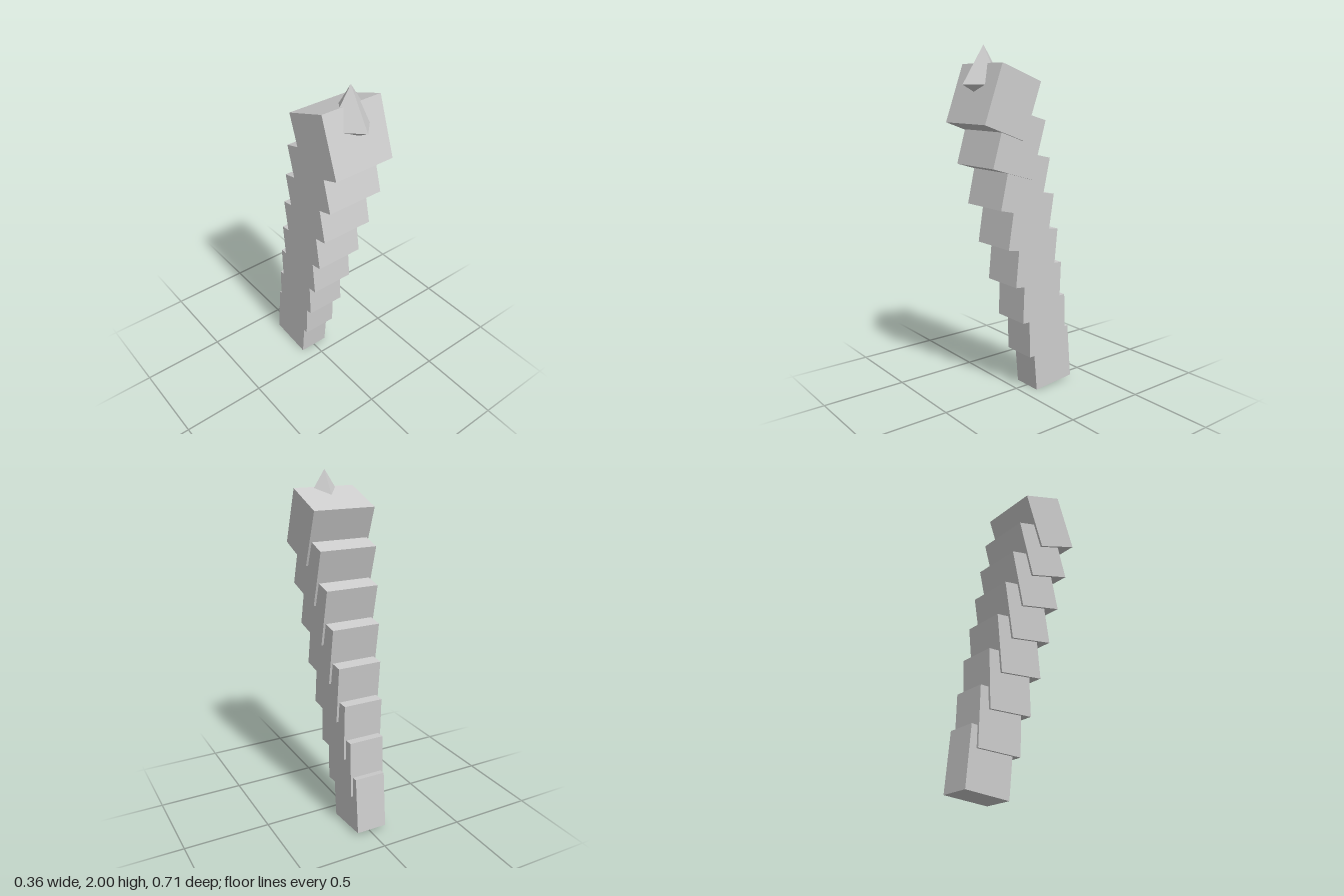
import * as THREE from 'three';

export function createModel() {
  const group = new THREE.Group();
  const grey = new THREE.MeshStandardMaterial({ color: 0xcccccc, flatShading: true });
  grey.name = 'light grey';

  // Overlapping blocks that widen upward and tilt progressively backward
  const count = 8;
  for (let i = 0; i < count; i++) {
    const t = i / (count - 1);
    const width = THREE.MathUtils.lerp(0.181, 0.364, t);
    const block = new THREE.Mesh(new THREE.BoxGeometry(width, 0.331, 0.271), grey);
    block.name = `segment${i + 1}`;
    block.position.set(0, THREE.MathUtils.lerp(0.178, 1.702, t), THREE.MathUtils.lerp(-0.205, 0.16, t));
    block.rotation.x = THREE.MathUtils.degToRad(THREE.MathUtils.lerp(5, -20, t));
    group.add(block);
  }

  // Four-sided spike with a shallow pointed underside, set into the top block
  const profile = [[0, -0.073], [0.135, 0], [0, 0.206]].map(([r, y]) => new THREE.Vector2(r, y));
  const spike = new THREE.Mesh(new THREE.LatheGeometry(profile, 4), grey);
  spike.name = 'spike';
  spike.position.set(0, 1.794, 0.219);
  group.add(spike);

  return group;
}
